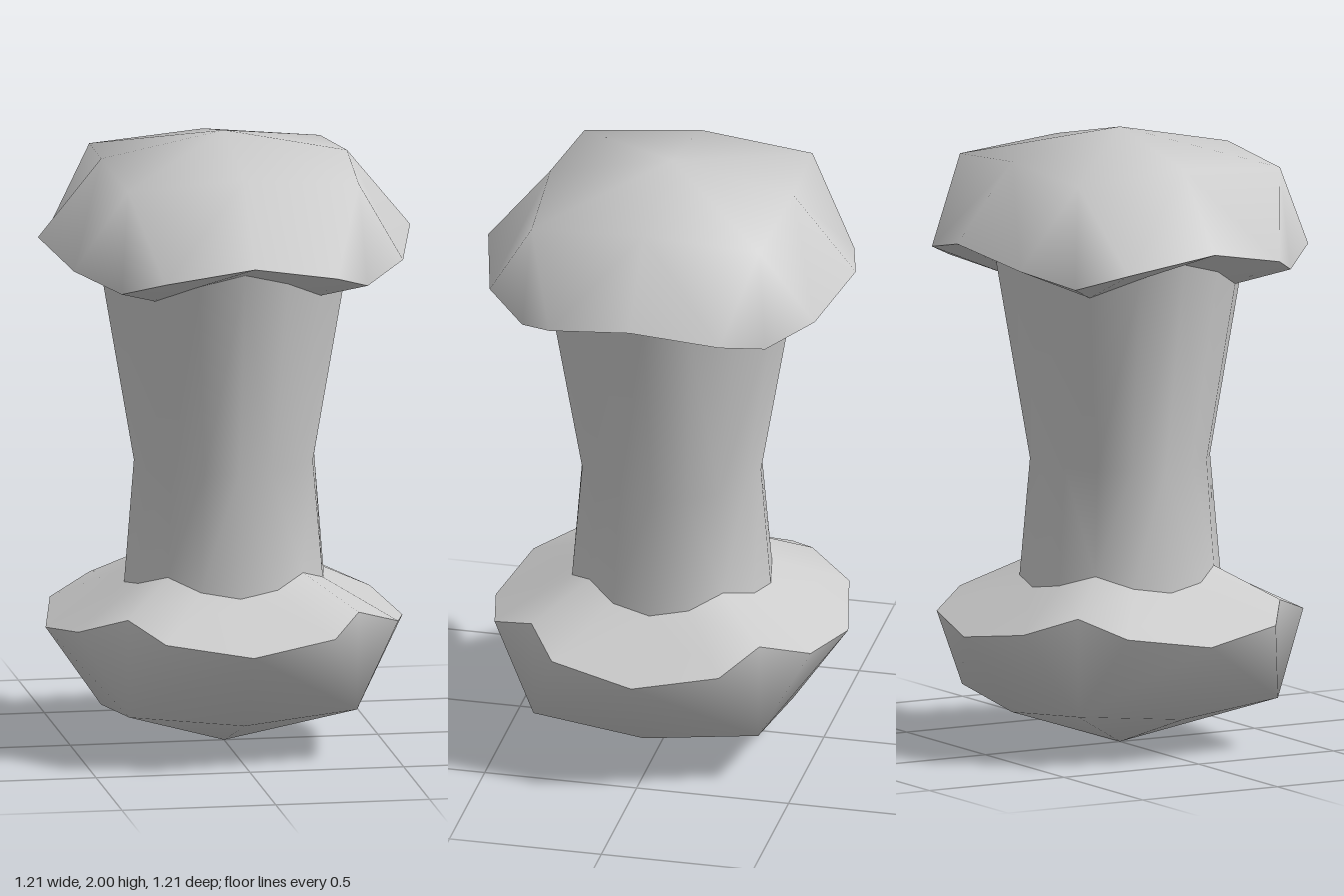
import * as THREE from 'three';
import { mergeVertices } from 'three/addons/utils/BufferGeometryUtils.js';

// One ring of 16 points with fourfold symmetry, from three points of an octant:
// on the axis (r0, y0), between (p, q, y1) and on the diagonal (d, y2).
function ring([r0, y0], [p, q, y1], [d, y2]) {
  const quarter = [[r0, y0, 0], [p, y1, q], [d, y2, d], [q, y1, p]];
  const points = [];
  for (let k = 0; k < 4; k++) {
    for (let [x, y, z] of quarter) {
      for (let n = 0; n < k; n++) [x, z] = [-z, x];
      points.push([x, y, z]);
    }
  }
  return points;
}

// Ring whose in-between points fall on the diagonal corner
const square = (r, y, d, yd) => ring([r, y], [d, d, yd], [d, yd]);
const pole = (y) => square(0, y, 0, y);

// Smooth skin over rings listed from the bottom up
function skin(name, rings, material) {
  const position = rings.flat(2);
  const index = [];
  for (let i = 0; i + 1 < rings.length; i++) {
    for (let j = 0; j < 16; j++) {
      const k = (j + 1) % 16;
      const a = i * 16 + j, b = i * 16 + k, c = a + 16, e = b + 16;
      // mirror the diagonals from octant to octant
      if (j % 4 < 2) index.push(a, c, b, b, c, e);
      else index.push(a, c, e, a, e, b);
    }
  }
  let geometry = new THREE.BufferGeometry();
  geometry.setAttribute('position', new THREE.Float32BufferAttribute(position, 3));
  geometry.setIndex(index);
  geometry = mergeVertices(geometry, 1e-4);
  geometry.computeVertexNormals();
  const mesh = new THREE.Mesh(geometry, material);
  mesh.name = name;
  return mesh;
}

export function createModel() {
  const group = new THREE.Group();
  group.name = 'doubleKnob';
  const material = new THREE.MeshStandardMaterial({ color: 0xcccccc });

  // Rims dip toward the middle of the model at the diagonals
  const lowerRim = ring([0.58, 0.39], [0.52, 0.275, 0.43], [0.375, 0.485]);
  const upperRim = ring([0.605, 1.67], [0.535, 0.28, 1.615], [0.4, 1.56]);

  // Both ends of the stem
  const stemBase = ring([0.325, 0.53], [0.3, 0.125, 0.55], [0.22, 0.587]);
  const stemTop = ring([0.41, 1.61], [0.375, 0.145, 1.57], [0.27, 1.505]);
  const waist = ring([0.293, 0.93], [0.27, 0.11, 0.93], [0.203, 0.93]);

  group.add(
    skin('lowerKnob', [pole(0), square(0.4, 0.13, 0.37, 0.165), lowerRim], material),
    skin('lowerShoulder', [lowerRim, stemBase], material),
    skin('stem', [stemBase, waist, stemTop], material),
    skin('upperShoulder', [stemTop, upperRim], material),
    skin('upperKnob', [upperRim, square(0.4, 1.92, 0.375, 1.89), pole(2)], material),
  );
  return group;
}
